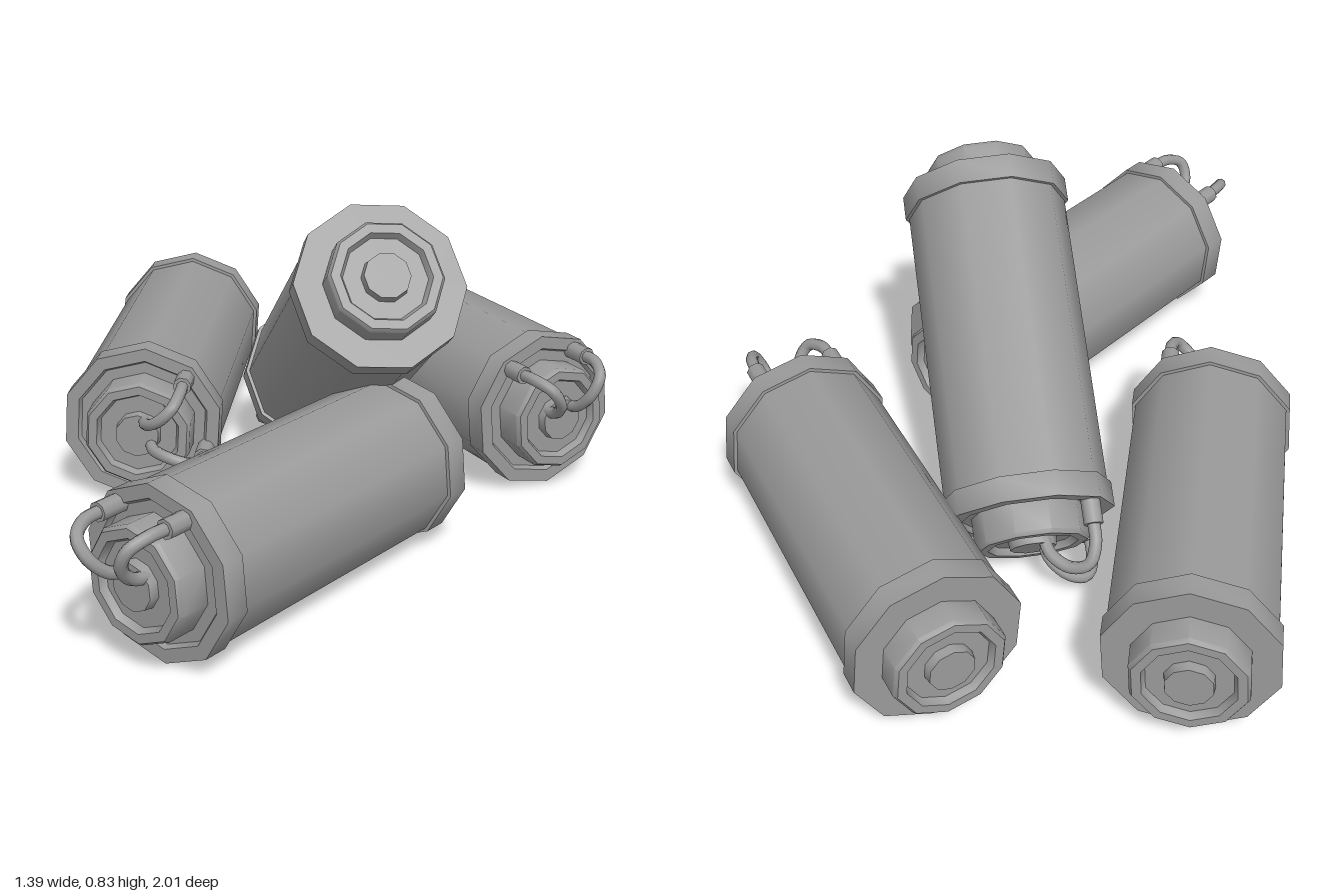
import * as THREE from 'three';
import { toCreasedNormals } from 'three/addons/utils/BufferGeometryUtils.js';

const SIDES = 10;
const LENGTH = 0.85;
const metal = new THREE.MeshStandardMaterial({ color: 0x9a9a9a, side: THREE.DoubleSide });

function mesh(name, geometry) {
  const m = new THREE.Mesh(geometry, metal);
  m.name = name;
  return m;
}

// Ten-sided turned part along z, from [radius, z] points; smooth around, sharp at the steps
function turned(points) {
  const profile = points.map(([r, z]) => new THREE.Vector2(r, z));
  return toCreasedNormals(new THREE.LatheGeometry(profile, SIDES).rotateX(Math.PI / 2), 0.7);
}

// Hub with a recessed face and a centre button, shared by both ends
const hub = [
  [0.137, 0.06], [0.13, 0.07], [0.108, 0.07], [0.1, 0.052],
  [0.058, 0.052], [0.055, 0.075], [0, 0.075],
];
const flange = [[0.19, -0.06], [0.205, -0.06], [0.205, 0]];
const wiredCap = turned([...flange, [0.172, 0], [0.165, -0.012], [0.137, -0.012], ...hub]);
const plainCap = turned([...flange, [0.137, 0], ...hub]);
const tube = new THREE.CylinderGeometry(0.196, 0.196, LENGTH - 0.1, SIDES, 1, true)
  .rotateX(Math.PI / 2).translate(0, 0, -LENGTH / 2);

// Looped wire rising from a socket near the rim and ending at the button
function makeWire(side) {
  const wire = new THREE.Group();
  wire.name = 'wire';
  // swing is the angle away from the line midway between the two wires
  const at = (r, z, swing) => {
    const a = Math.PI / 2 + side * swing;
    return new THREE.Vector3(r * Math.cos(a), r * Math.sin(a), z);
  };
  const socket = mesh('socket', new THREE.CylinderGeometry(0.023, 0.023, 0.07, 8).rotateX(Math.PI / 2));
  socket.position.copy(at(0.172, 0.022, 0.6));
  const path = new THREE.CatmullRomCurve3([
    at(0.172, 0.04, 0.6), at(0.168, 0.1, 0.58), at(0.14, 0.143, 0.54),
    at(0.09, 0.14, 0.55), at(0.05, 0.1, 0.75), at(0.04, 0.055, 0.9),
  ]);
  wire.add(socket, mesh('wireLoop', new THREE.TubeGeometry(path, 20, 0.015, 8)));
  return wire;
}

// One canister: the wired end faces local +z with its face at z = 0.
// roll turns it about its own axis, in degrees
function makeCanister(name, position, direction, roll) {
  const canister = new THREE.Group();
  canister.name = name;
  const back = mesh('plainEnd', plainCap);
  back.rotation.y = Math.PI;
  back.position.z = -LENGTH;
  canister.add(mesh('body', tube), mesh('wiredEnd', wiredCap), back, makeWire(-1), makeWire(1));

  const d = new THREE.Vector3(...direction).normalize();
  const u = new THREE.Vector3(0, 1, 0).cross(d).normalize();
  const v = d.clone().cross(u);
  canister.quaternion.setFromRotationMatrix(new THREE.Matrix4().makeBasis(u, v, d));
  canister.rotateZ(THREE.MathUtils.degToRad(roll));
  canister.position.set(...position);
  return canister;
}

export function createModel() {
  const model = new THREE.Group();
  model.name = 'canisterPile';
  model.add(
    makeCanister('rightCanister', [-0.495, 0.206, 0.01], [0, 0, 1], -76),
    makeCanister('frontCanister', [-0.317, 0.206, 0.835], [-0.56, 0, 0.828], 5),
    makeCanister('leftCanister', [0.526, 0.206, -0.17], [0.559, 0, 0.829], 5),
    // leaning on the front canister, wired end down
    makeCanister('leaningCanister', [-0.087, 0.188, -0.42], [-0.243, -0.564, -0.789], -85),
  );
  return model;
}
